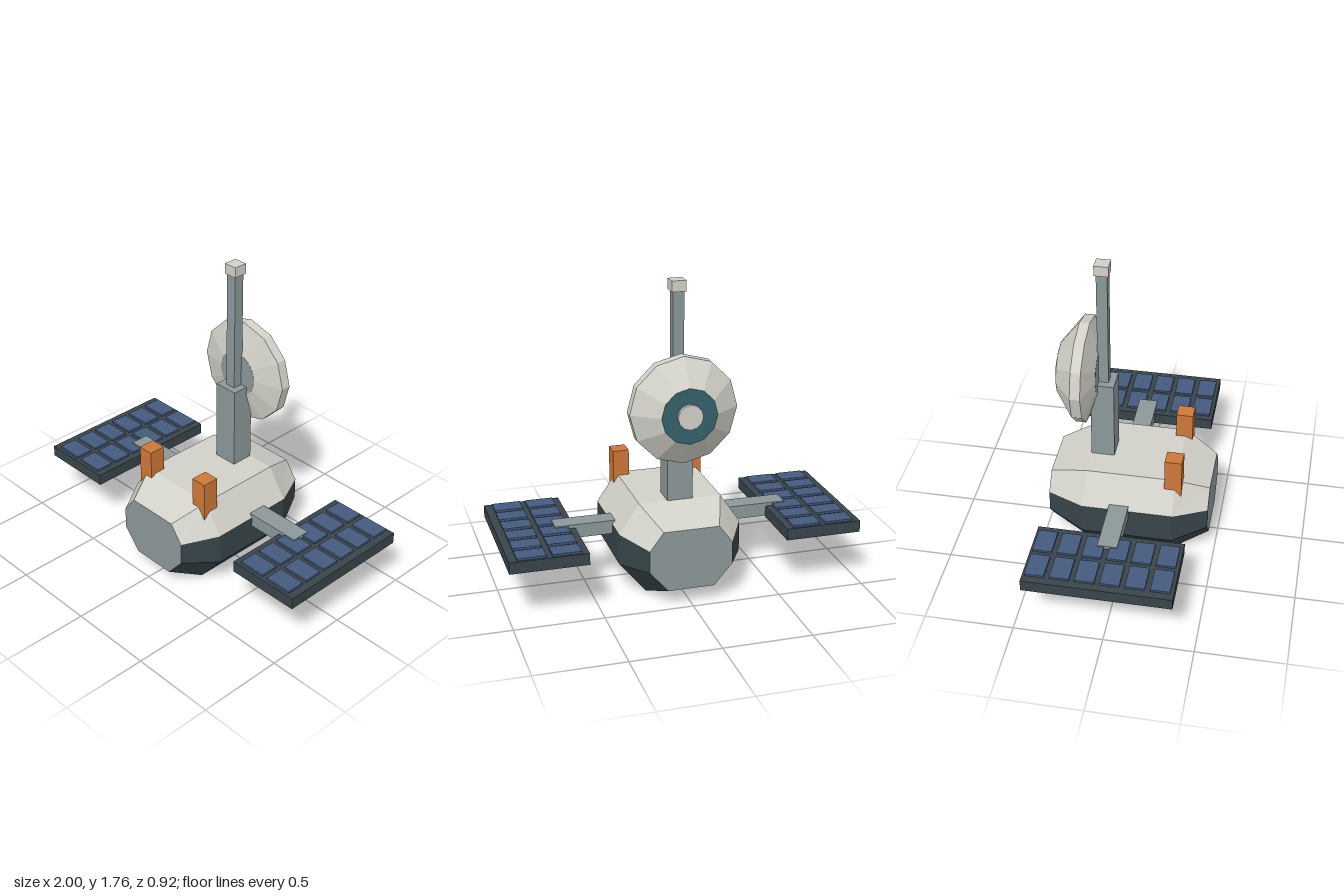
import * as THREE from 'three';

const mat = (name, color) => {
  const m = new THREE.MeshStandardMaterial({ color, flatShading: true });
  m.name = name;
  return m;
};

export function createModel() {
  const light = mat('off white', 0xd2d1c9);
  const grey = mat('grey', 0x8c989a);
  const dark = mat('dark slate', 0x38454a);
  const blue = mat('cell blue', 0x455a7e);
  const teal = mat('teal', 0x35626b);
  const orange = mat('orange', 0xce7838);

  const model = new THREE.Group();
  model.name = 'spacecraft';

  const add = (name, geometry, material, parent = model) => {
    const mesh = new THREE.Mesh(geometry, material);
    mesh.name = name;
    parent.add(mesh);
    return mesh;
  };
  // Box given by its extents on each axis
  const box = (name, [x0, x1], [y0, y1], [z0, z1], material, parent) => {
    const g = new THREE.BoxGeometry(x1 - x0, y1 - y0, z1 - z0);
    g.translate((x0 + x1) / 2, (y0 + y1) / 2, (z0 + z1) / 2);
    return add(name, g, material, parent);
  };

  // Hull: octagonal sections, counter-clockwise from the lower +x corner
  const section = (half, z) => [
    ...half.map(([x, y]) => [x, y, z]),
    ...[...half].reverse().map(([x, y]) => [-x, y, z]),
  ];
  const full = [[0.2, 0], [0.35, 0.18], [0.35, 0.36], [0.235, 0.53]];
  const end = [[0.132, 0.09], [0.235, 0.21], [0.235, 0.337], [0.158, 0.44]];
  const rings = [section(end, 0.46), section(full, 0.27), section(full, -0.24), section(end, -0.46)];
  const faces = { upper: [], lower: [], caps: [] };
  const quad = (list, a, b, c, d) => list.push(...a, ...b, ...c, ...a, ...c, ...d);
  for (let r = 0; r < 3; r++) {
    for (let i = 0; i < 8; i++) {
      const j = (i + 1) % 8;
      const list = i >= 2 && i <= 4 ? faces.upper : faces.lower;
      quad(list, rings[r][i], rings[r + 1][i], rings[r + 1][j], rings[r][j]);
    }
  }
  for (let i = 1; i < 7; i++) {
    faces.caps.push(...rings[0][0], ...rings[0][i], ...rings[0][i + 1]);
    faces.caps.push(...rings[3][0], ...rings[3][i + 1], ...rings[3][i]);
  }
  const surface = (list) => {
    const g = new THREE.BufferGeometry();
    g.setAttribute('position', new THREE.Float32BufferAttribute(list, 3));
    g.computeVertexNormals();
    return g;
  };
  add('upperHull', surface(faces.upper), light);
  add('lowerHull', surface(faces.lower), dark);
  add('hullEndCaps', surface(faces.caps), grey);

  // Mast
  box('mastBase', [-0.073, 0.073], [0.5, 1.01], [-0.24, -0.107], grey);
  box('mastPole', [-0.031, 0.031], [1.0, 1.7], [-0.205, -0.144], grey);
  box('mastTip', [-0.04, 0.04], [1.7, 1.76], [-0.215, -0.135], light);

  // Dish: twelve-sided frustums along z
  const dish = new THREE.Group();
  dish.name = 'dish';
  dish.position.y = 1.07;
  model.add(dish);
  const drum = (name, rFront, rBack, zFront, zBack, material, open = false) => {
    const g = new THREE.CylinderGeometry(rFront, rBack, zFront - zBack, 12, 1, open);
    g.rotateX(Math.PI / 2);
    g.translate(0, 0, (zFront + zBack) / 2);
    return add(name, g, material, dish);
  };
  drum('dishFront', 0.133, 0.302, -0.2, -0.25, light, true);
  drum('dishRim', 0.302, 0.302, -0.25, -0.307, light, true);
  drum('dishBack', 0.302, 0.156, -0.307, -0.415, light, true);
  drum('dishFrontPlate', 0.133, 0.133, -0.199, -0.204, grey);
  drum('dishBackPlate', 0.156, 0.156, -0.411, -0.416, teal);
  drum('dishHub', 0.07, 0.07, -0.41, -0.435, light);

  // Parts on both sides
  for (const s of [1, -1]) {
    const side = s > 0 ? 'left' : 'right';
    const span = (a, b) => (s > 0 ? [a, b] : [-b, -a]);

    box(side + 'Thruster', span(0.172, 0.265), [0.42, 0.68], [0.213, 0.31], orange);
    box(side + 'Arm', span(0.33, 0.677), [0.305, 0.384], [-0.09, 0.021], grey);

    const panel = new THREE.Group();
    panel.name = side + 'SolarPanel';
    model.add(panel);
    box('panelFrame', span(0.563, 1), [0.298, 0.365], [-0.445, 0.377], dark, panel);
    for (const x of [0.603, 0.795]) {
      for (let row = 0; row < 6; row++) {
        const z = -0.432 + row * 0.1365;
        box('solarCell', span(x, x + 0.16), [0.36, 0.377], [z, z + 0.107], blue, panel);
      }
    }
  }
  return model;
}
